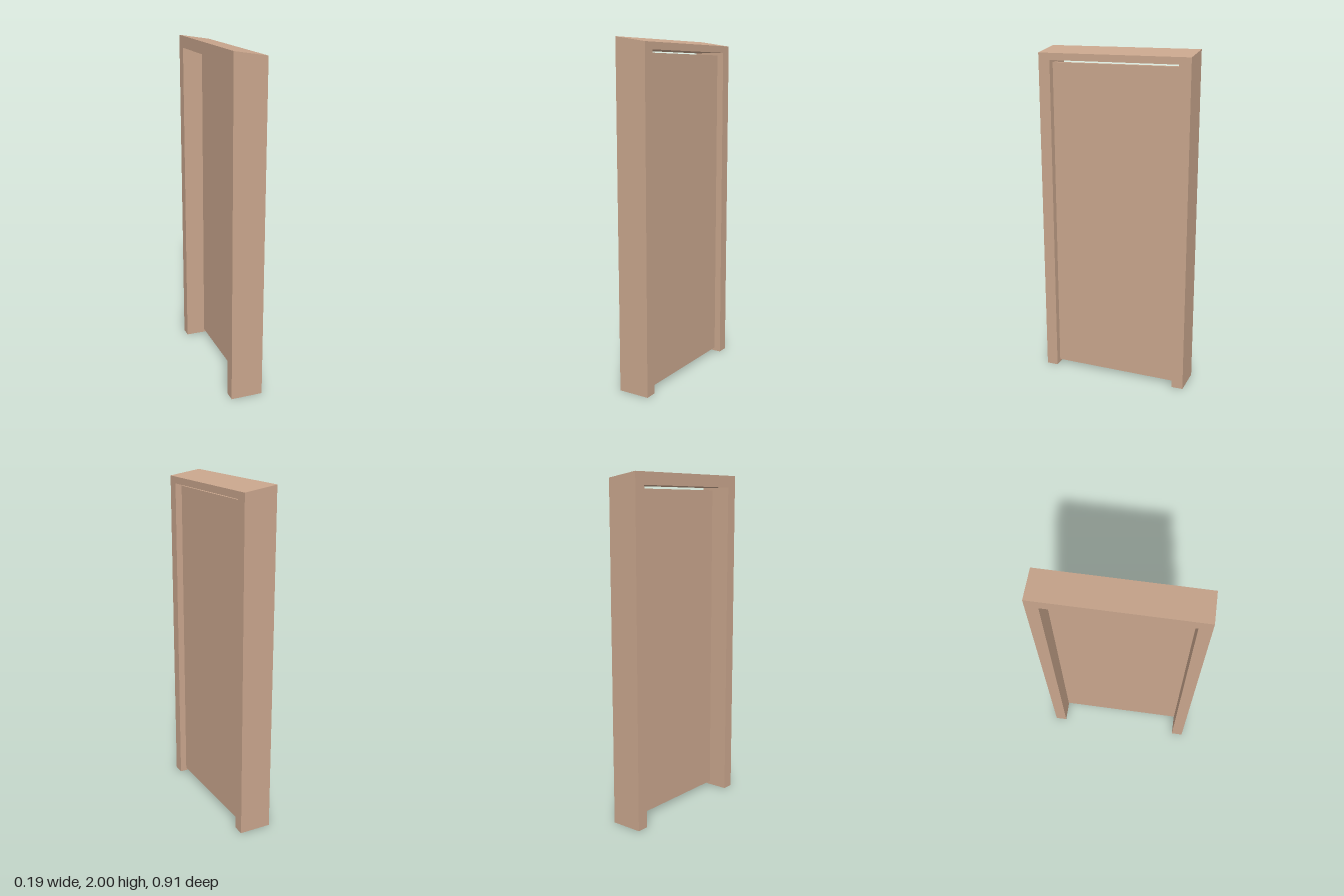
import * as THREE from 'three';

const HEIGHT = 2, DEPTH = 0.19, HALF_WIDTH = 0.455, HALF_OPENING = 0.385;
const OPENING_TOP = 1.93, TOP_DROP = 0.03;

// Jambs and header in one piece, extruded along x, top sloping down towards +x
function frameGeometry() {
  const shape = new THREE.Shape([
    [-HALF_WIDTH, 0], [-HALF_OPENING, 0], [-HALF_OPENING, OPENING_TOP], [HALF_OPENING, OPENING_TOP],
    [HALF_OPENING, 0], [HALF_WIDTH, 0], [HALF_WIDTH, HEIGHT], [-HALF_WIDTH, HEIGHT],
  ].map(([z, y]) => new THREE.Vector2(z, y)));
  const geometry = new THREE.ExtrudeGeometry(shape, { depth: DEPTH, bevelEnabled: false });
  geometry.translate(0, 0, -DEPTH / 2).rotateY(-Math.PI / 2);
  const p = geometry.attributes.position;
  for (let i = 0; i < p.count; i++) {
    if (p.getY(i) > HEIGHT - 0.001) p.setY(i, HEIGHT - TOP_DROP * (p.getX(i) / DEPTH + 0.5));
  }
  geometry.computeVertexNormals();
  return geometry;
}

export function createModel() {
  const group = new THREE.Group();
  group.name = 'door';
  const wood = new THREE.MeshStandardMaterial({ color: 0xc8a58c });

  const frame = new THREE.Mesh(frameGeometry(), wood);
  frame.name = 'doorFrame';

  // Thin panel near the +x side, with a gap above and below
  const bottom = 0.02, top = 1.915;
  const panel = new THREE.Mesh(new THREE.BoxGeometry(0.03, top - bottom, 2 * HALF_OPENING), wood);
  panel.position.set(0.04, (top + bottom) / 2, 0);
  panel.name = 'doorPanel';

  group.add(frame, panel);
  return group;
}
